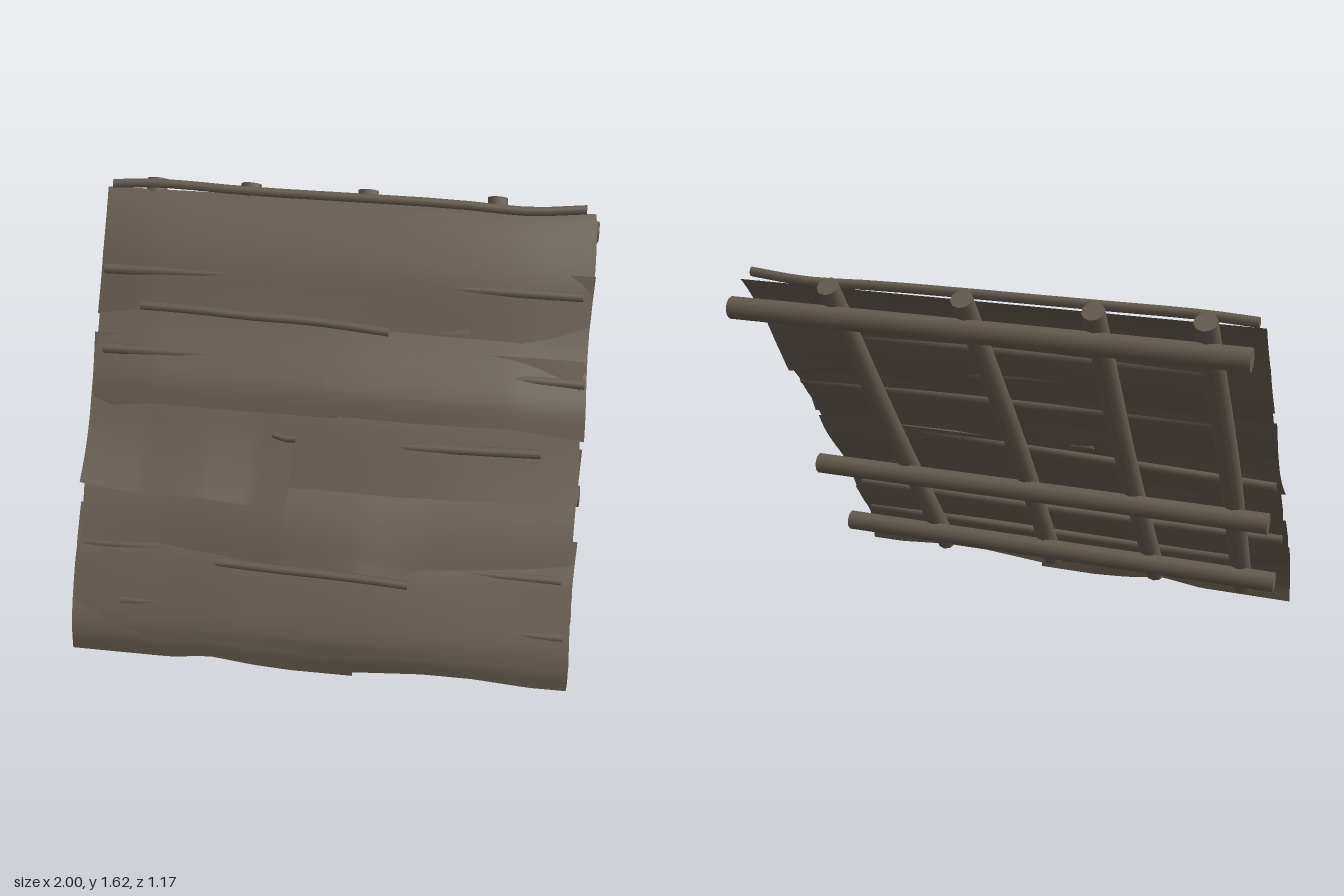
import * as THREE from 'three';

const wood = new THREE.MeshStandardMaterial({ color: 0x665c50, side: THREE.DoubleSide });
wood.name = 'weatheredBark';

const V = (p) => new THREE.Vector3(...p);

// Slightly bent pole: a capped cylinder whose rings follow a curve
function pole(name, points, radius, sides = 10, taper = 1) {
  const curve = new THREE.CatmullRomCurve3(points.map(V));
  const geo = new THREE.CylinderGeometry(radius * taper, radius, 1, sides, 14);
  const axis = V(points[points.length - 1]).sub(V(points[0])).normalize();
  const q = new THREE.Quaternion().setFromUnitVectors(new THREE.Vector3(0, 1, 0), axis);
  const pos = geo.attributes.position, nor = geo.attributes.normal;
  const v = new THREE.Vector3();
  for (let i = 0; i < pos.count; i++) {
    const t = THREE.MathUtils.clamp(pos.getY(i) + 0.5, 0, 1);
    v.set(pos.getX(i), 0, pos.getZ(i)).applyQuaternion(q).add(curve.getPoint(t));
    pos.setXYZ(i, v.x, v.y, v.z);
    v.fromBufferAttribute(nor, i).applyQuaternion(q);
    nor.setXYZ(i, v.x, v.y, v.z);
  }
  const mesh = new THREE.Mesh(geo, wood);
  mesh.name = name;
  return mesh;
}

// Linear lookup in a list of [x, value]
function lookup(list, x) {
  for (let i = 1; i < list.length; i++) {
    if (x <= list[i][0]) {
      const [a, b] = [list[i - 1], list[i]];
      return THREE.MathUtils.lerp(a[1], b[1], Math.max(0, (x - a[0]) / (b[0] - a[0])));
    }
  }
  return list[list.length - 1][1];
}

// Bark sheet: a [z, y] profile swept along x. The lower edge wanders by `edge`;
// `dip` presses the sheet towards the rafters, most of all near its outer ends
function sheet(name, x0, x1, profile, edge, dip, phase) {
  const curve = new THREE.CatmullRomCurve3(profile.map(([z, y]) => new THREE.Vector3(0, y, z)));
  const geo = new THREE.PlaneGeometry(1, 1, 28, 16);
  const pos = geo.attributes.position;
  for (let i = 0; i < pos.count; i++) {
    const t = pos.getY(i) + 0.5;
    const x = THREE.MathUtils.lerp(x0, x1, pos.getX(i) + 0.5);
    const p = curve.getPoint(t);
    const press = dip * (0.4 + 0.6 * x * x) * Math.sin(Math.PI * (0.2 + 0.8 * t));
    const wave = 0.006 * Math.sin(x * 4 + phase) * Math.sin(Math.PI * t);
    pos.setXYZ(i, x + 0.005 * Math.sin(t * 5 + phase), p.y + lookup(edge, x) * (1 - t) ** 2, p.z - press + wave);
  }
  geo.computeVertexNormals();
  const mesh = new THREE.Mesh(geo, wood);
  mesh.name = name;
  return mesh;
}

export function createModel() {
  const model = new THREE.Group();
  model.name = 'barkRoofPanel';

  // Sloping rafters
  [-0.8, -0.41, 0.07, 0.59].forEach((x, i) => {
    const bend = 0.012 * (i % 2 ? 1 : -1);
    model.add(pole('rafter', [[x, 0.105, 0.495], [x + bend, 0.855, -0.035], [x, 1.595, -0.56]], 0.044, 10, 0.95));
  });

  // Horizontal purlins behind the rafters
  [[0.22, 0.34], [0.61, 0.065], [1.475, -0.55]].forEach(([y, z]) =>
    model.add(pole('purlin', [[-0.96, y, z], [0.02, y, z], [1, y, z]], 0.043, 9)));

  // Thin battens on top of the rafters: left x, left y, right x, right y, z
  [[-0.97, 1.323, 0.95, 1.328, -0.275], [-0.95, 1.062, 0.98, 1.045, -0.085], [-0.975, 0.758, 0.83, 0.825, 0.095],
    [-0.975, 0.41, 0.945, 0.415, 0.36], [-0.8, 0.232, 0.965, 0.235, 0.488]].forEach(([xl, yl, xr, yr, z]) =>
    model.add(pole('batten', [[xl, yl, z + 0.004], [(xl + xr) / 2, (yl + yr) / 2, z - 0.008], [xr, yr, z + 0.004]], 0.021, 8, 0.9)));

  // Peg pushed through the middle of the bark
  model.add(pole('peg', [[-0.23, 0.825, 0.1], [-0.18, 0.82, 0.115], [-0.135, 0.818, 0.112]], 0.014, 7));

  // Overlapping bark courses, bottom to top, each with a tail tucked against the rafters
  const eaveLow = [[-1, 0.012], [-0.6, 0.012], [-0.43, 0.035], [-0.25, 0.01], [-0.1, 0], [0.15, 0]];
  const eaveHigh = [[0.1, 0.015], [0.42, 0.042], [0.62, 0.042], [0.85, 0.022], [1, 0.022]];
  const eave = [[0.577, 0.006], [0.575, 0.1], [0.535, 0.19], [0.465, 0.27], [0.385, 0.37]];
  const first = [[0.588, 0.11], [0.58, 0.17], [0.535, 0.25], [0.47, 0.34], [0.41, 0.41], [0.34, 0.47], [0.27, 0.54]];
  const second = [[0.435, 0.365], [0.41, 0.42], [0.365, 0.5], [0.295, 0.59], [0.21, 0.67], [0.13, 0.75], [0.06, 0.835]];
  const third = [[0.31, 0.63], [0.23, 0.71], [0.14, 0.81], [0.065, 0.9], [-0.01, 0.97], [-0.07, 1.03], [-0.13, 1.105]];
  const thirdLow = [[0.23, 0.65], [0.185, 0.72], [0.125, 0.81], [0.06, 0.9], [-0.01, 0.97], [-0.07, 1.03], [-0.13, 1.105]];
  const fourth = [[0.075, 0.88], [0.04, 0.97], [-0.03, 1.05], [-0.125, 1.14], [-0.21, 1.23], [-0.27, 1.31], [-0.33, 1.39]];
  const top = [[-0.155, 1.17], [-0.205, 1.27], [-0.27, 1.38], [-0.37, 1.49], [-0.45, 1.55], [-0.505, 1.575]];

  model.add(
    sheet('eaveSheet', -1, 0.15, eave, eaveLow, 0.005, 0),
    sheet('eaveSheet', 0.05, 0.995, eave, eaveHigh, 0.01, 1),
    sheet('firstCourse', -0.995, 0.05, first, [[-1, -0.01], [-0.6, -0.01], [-0.33, 0.02], [0.05, 0]], 0.04, 0.5),
    sheet('firstCourse', 0, 0.995, first, [[0, 0], [0.45, 0.018], [0.6, 0.02], [1, 0.01]], 0.045, 2),
    sheet('secondCourse', -0.985, -0.1, second, [[-1, 0.025], [-0.65, -0.02], [-0.1, 0.01]], 0.05, 1),
    sheet('secondCourse', -0.16, 0.985, second, [[-0.2, 0.03], [0.15, 0.05], [0.4, -0.005], [1, -0.03]], 0.055, 2.5),
    sheet('thirdCourse', -0.99, -0.15, third, [[-1, 0.02], [-0.75, -0.01], [-0.5, 0], [-0.3, -0.02], [-0.15, 0]], 0.045, 0),
    sheet('thirdCourse', -0.17, 0.98, thirdLow, [[-0.17, 0.005], [0.3, 0], [0.75, 0.01], [1, 0.02]], 0.045, 1.5),
    sheet('fourthCourse', -0.985, 0.02, fourth, [[-1, -0.02], [-0.75, 0.02], [0, 0.02]], 0.045, 0.8),
    sheet('fourthCourse', -0.03, 0.99, fourth, [[0, 0.03], [0.3, 0.02], [0.7, 0.02], [1, -0.02]], 0.05, 2),
    sheet('topCourse', -0.99, 0.985, top, [[-1, -0.01], [-0.8, 0.03], [0, 0.015], [0.4, 0], [0.7, -0.01], [1, -0.06]], 0.05, -0.6),
  );

  // Loose backing slabs tucked under the courses
  [[-0.65, 0.55], [0.3, 0.62], [-0.2, 0.98], [0.75, 1.02], [0.3, 1.28]].forEach(([x, y], i) => {
    const z = 0.55 - 0.711 * (y - 0.155);
    model.add(sheet('backingSlab', x - 0.22, x + 0.22,
      [[z + 0.075, y - 0.1], [z + 0.003, y], [z - 0.068, y + 0.1]], [[-1, 0], [1, 0]], 0, i));
  });

  // Weighting sticks laid on the face
  model.add(
    pole('ridgeStick', [[-0.97, 1.592, -0.5], [-0.78, 1.602, -0.505], [-0.4, 1.597, -0.49], [0.4, 1.593, -0.487],
      [0.72, 1.583, -0.48], [0.94, 1.602, -0.485]], 0.019, 8),
    pole('upperStick', [[-0.81, 1.212, -0.185], [-0.6, 1.21, -0.18], [-0.35, 1.2, -0.176], [-0.1, 1.197, -0.172],
      [0.2, 1.178, -0.16]], 0.018, 8),
    pole('lowerStick', [[-0.42, 0.393, 0.4], [-0.15, 0.398, 0.42], [0.13, 0.403, 0.437], [0.35, 0.377, 0.425]], 0.018, 8),
  );

  return model;
}
